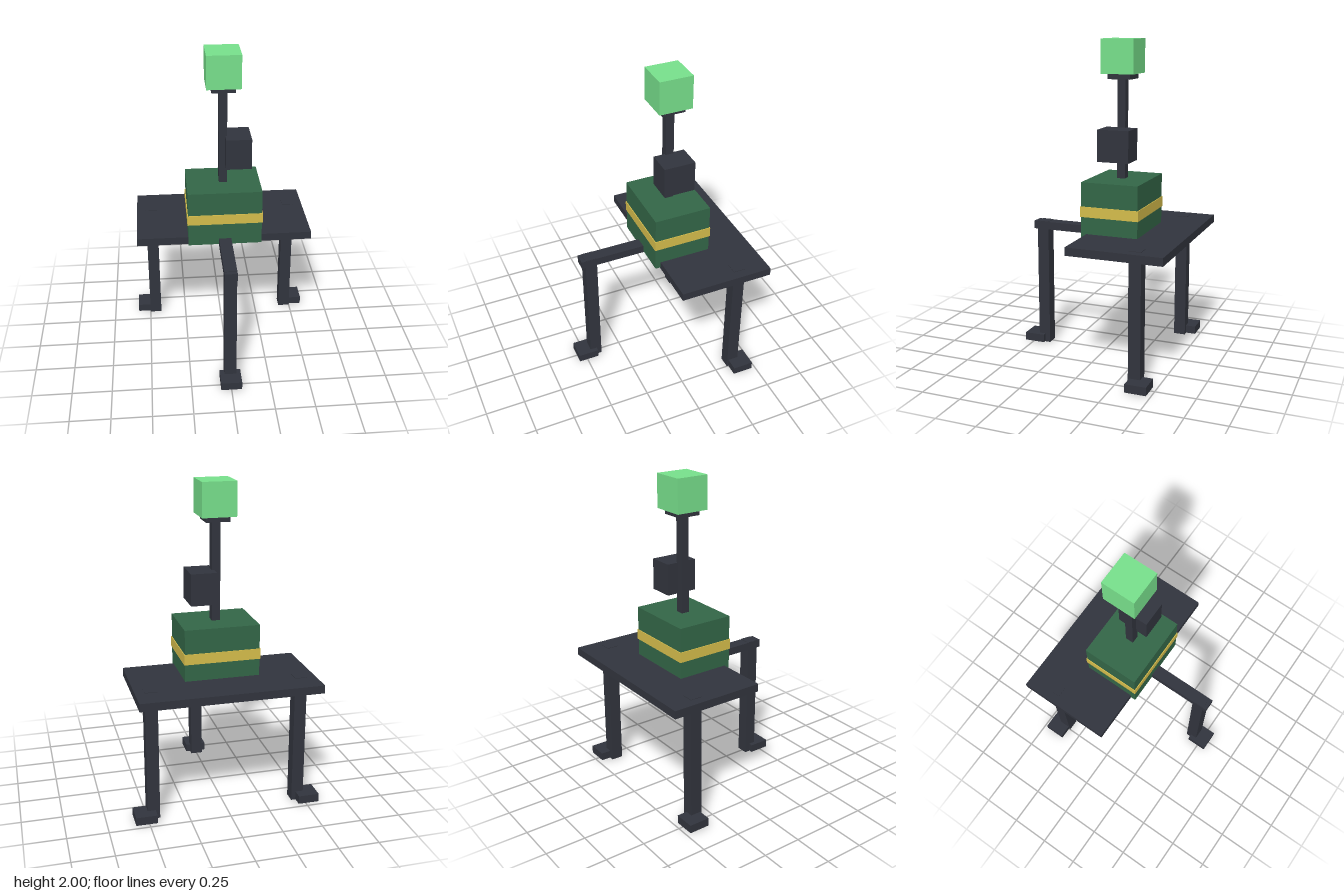
import * as THREE from 'three';

const DARK = 0x31343d, GREEN = 0x336647, YELLOW = 0xd4bc4b, LIGHT = 0x77df8b;

export function createModel() {
  const model = new THREE.Group();
  const materials = {};

  // Box given by its [min, max] extents on each axis
  function box(name, color, x, y, z) {
    materials[color] ??= new THREE.MeshStandardMaterial({ color, flatShading: true });
    const mesh = new THREE.Mesh(
      new THREE.BoxGeometry(x[1] - x[0], y[1] - y[0], z[1] - z[0]), materials[color]);
    mesh.position.set((x[0] + x[1]) / 2, (y[0] + y[1]) / 2, (z[0] + z[1]) / 2);
    mesh.name = name;
    model.add(mesh);
  }
  const around = (c, half) => [c - half, c + half];
  const cz = -0.108; // depth of the upper body axis

  // Table plate and the arm reaching to the front leg
  box('plate', DARK, [-0.557, 0.557], [0.777, 0.827], [-0.557, 0.04]);
  box('frontArm', DARK, around(0, 0.039), [0.777, 0.827], [0.03, 0.49]);

  // Three legs, each with a foot pushed outwards
  for (const [name, x, z, dx, dz] of [
    ['left', 0.462, -0.371, 0.055, -0.037],
    ['right', -0.462, -0.371, -0.055, -0.037],
    ['front', 0, 0.428, 0, 0.061],
  ]) {
    box(name + 'Leg', DARK, around(x, 0.038), [0, 0.83], around(z, 0.038));
    box(name + 'Foot', DARK, around(x + dx, 0.066), [0.004, 0.056], around(z + dz, 0.066));
  }

  // Body with its belt
  box('body', GREEN, around(0, 0.232), [0.787, 1.148], around(cz, 0.182));
  box('belt', YELLOW, around(0, 0.237), [0.933, 0.998], around(cz, 0.187));

  // Mast, side box, neck and head
  box('mast', DARK, around(0, 0.026), [1.13, 1.77], around(cz, 0.026));
  box('sideBox', DARK, [0.013, 0.172], [1.268, 1.464], around(cz, 0.1));
  box('neck', DARK, around(0, 0.073), [1.759, 1.795], around(cz, 0.073));
  box('head', LIGHT, around(0, 0.105), [1.792, 2], around(cz, 0.105));

  return model;
}
